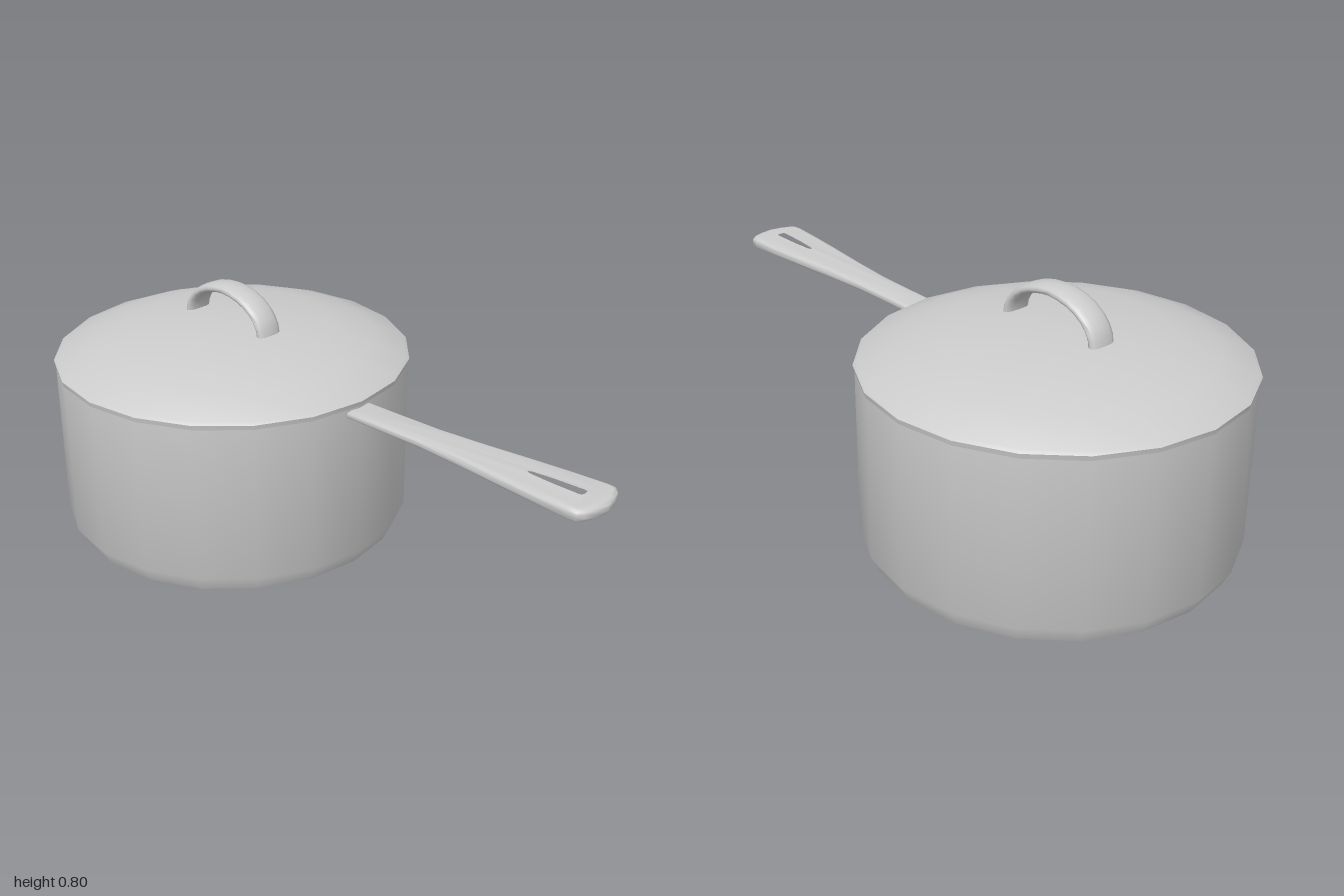
import * as THREE from 'three';
import { toCreasedNormals } from 'three/addons/utils/BufferGeometryUtils.js';

const POT_X = -0.435;
const SIDES = 20;

const material = new THREE.MeshStandardMaterial({ color: 0xcccccc });

function part(name, geometry, crease = 0.9) {
  const mesh = new THREE.Mesh(toCreasedNormals(geometry, crease), material);
  mesh.name = name;
  return mesh;
}

function turned(name, profile) {
  const mesh = part(name, new THREE.LatheGeometry(profile.map(([r, y]) => new THREE.Vector2(r, y)), SIDES));
  mesh.position.x = POT_X;
  return mesh;
}

// Arched grip: a flattened round section swept along half an ellipse
function lidGrip() {
  const geometry = new THREE.CylinderGeometry(1, 1, 1, 12, 14);
  const p = geometry.attributes.position;
  for (let i = 0; i < p.count; i++) {
    const a = Math.PI * (0.5 - p.getY(i)); // 0 = +x foot, PI = -x foot
    const out = 0.016 * p.getX(i);
    // squared-off ellipse across the strap
    const side = 0.045 * Math.sign(p.getZ(i)) * Math.pow(Math.abs(p.getZ(i)), 0.7);
    p.setXYZ(i, Math.cos(a) * (0.168 + out), 0.665 + Math.sin(a) * (0.114 + out), side);
  }
  // the sweep turns the section over, so reverse the winding if needed
  const n = geometry.index;
  const corner = [0, 1, 2].map(k => new THREE.Vector3().fromBufferAttribute(p, n.getX(14 * 12 * 3 + k)));
  const face = new THREE.Triangle(...corner);
  const normal = face.getNormal(new THREE.Vector3());
  const mid = face.getMidpoint(new THREE.Vector3());
  const angle = Math.atan2((mid.y - 0.665) / 0.114, mid.x / 0.168);
  const core = new THREE.Vector3(0.168 * Math.cos(angle), 0.665 + 0.114 * Math.sin(angle), 0);
  if (normal.dot(mid.sub(core)) < 0) {
    for (let i = 0; i < n.count; i += 3) {
      const b = n.getX(i + 1);
      n.setX(i + 1, n.getX(i + 2));
      n.setX(i + 2, b);
    }
  }
  const mesh = part('lidGrip', geometry, 1.1);
  mesh.position.x = POT_X;
  return mesh;
}

// Long flared handle with a hanging slot, rounded edges and a rising top
function panHandle() {
  const edge = [[0.1, 0.05], [0.25, 0.05], [0.4, 0.051], [0.55, 0.062], [0.7, 0.077],
    [0.83, 0.088], [0.94, 0.095], [0.965, 0.092], [0.98, 0.075], [0.993, 0.04], [1, 0]];
  const slotEdge = [[0.722, 0], [0.728, 0.014], [0.75, 0.024], [0.82, 0.03], [0.92, 0.033],
    [0.942, 0.026], [0.947, 0]];
  const mirrored = half => half.concat(half.slice(0, -1).reverse().map(([x, z]) => [x, -z]))
    .map(([x, z]) => new THREE.Vector2(x, z));

  const shape = new THREE.Shape(mirrored(edge));
  const slot = mirrored(slotEdge);
  slot.pop();
  shape.holes.push(new THREE.Path(slot));

  const geometry = new THREE.ExtrudeGeometry(shape, {
    depth: 0.3, bevelThickness: 0.35, bevelSize: 0.018, bevelOffset: -0.018, bevelSegments: 4,
  });
  geometry.translate(0, 0, -0.15).rotateX(-Math.PI / 2);

  // squash the unit-thick blank to a thickness that grows towards the tip
  const p = geometry.attributes.position;
  for (let i = 0; i < p.count; i++) {
    const t = THREE.MathUtils.clamp((p.getX(i) - 0.13) / 0.8, 0, 1);
    p.setY(i, 0.5375 + 0.0155 * t + p.getY(i) * (0.025 + 0.014 * t));
  }
  return part('panHandle', geometry, 1.0);
}

export function createModel() {
  const group = new THREE.Group();
  group.name = 'saucepan';

  // Hollow body with a chamfered foot
  group.add(turned('potBody', [
    [0, 0], [0.54, 0], [0.565, 0.05], [0.565, 0.558], [0.545, 0.558], [0.545, 0.06], [0.52, 0.025], [0, 0.025],
  ]));

  // Domed lid with a thin rim
  group.add(turned('lid', [
    [0, 0.655], [0.32, 0.638], [0.46, 0.6], [0.54, 0.557], [0.567, 0.557], [0.57, 0.572],
    [0.56, 0.58], [0.46, 0.62], [0.325, 0.658], [0.1, 0.676], [0, 0.677],
  ]));

  group.add(lidGrip());
  group.add(panHandle());
  return group;
}
